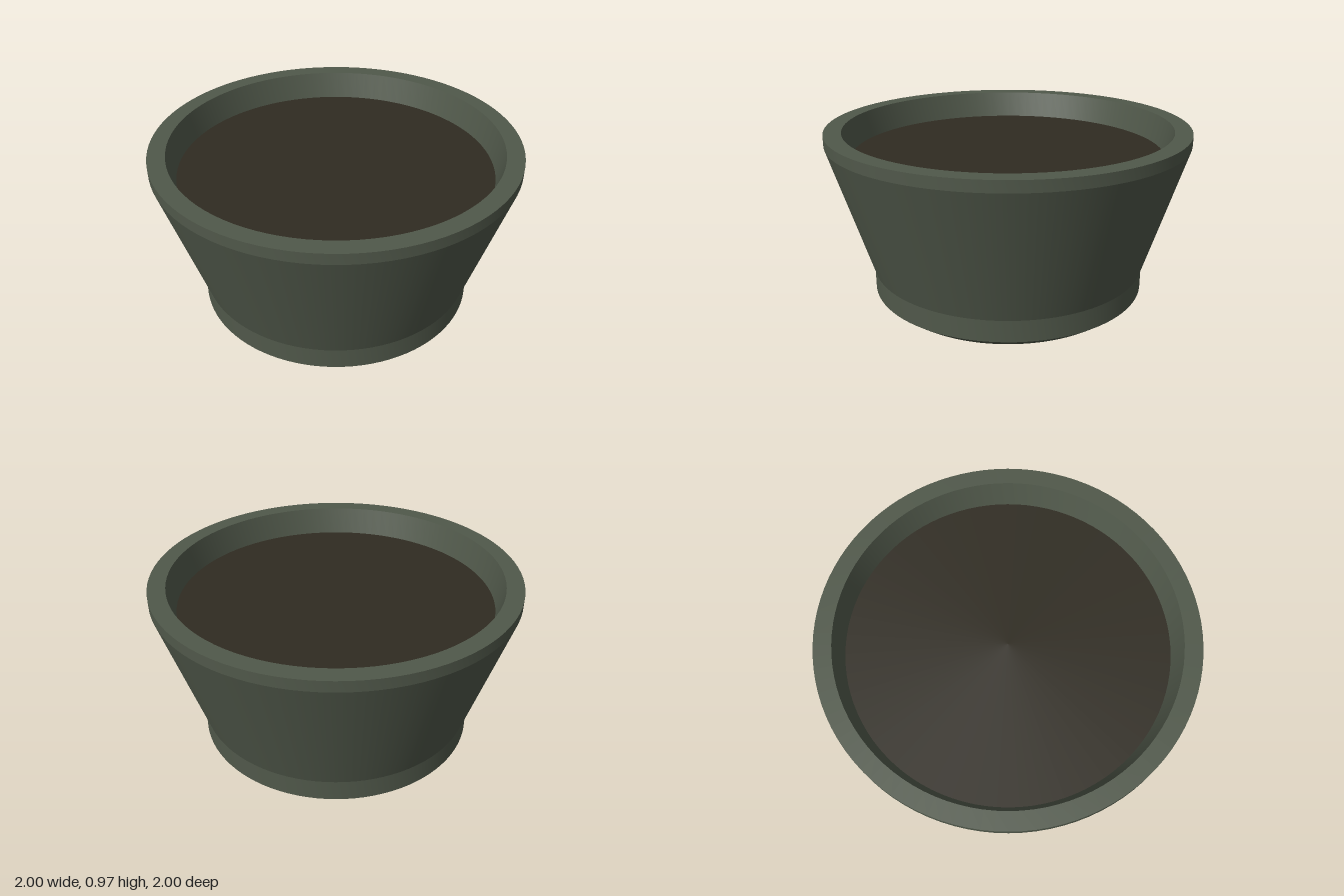
import * as THREE from 'three';
import { toCreasedNormals } from 'three/addons/utils/BufferGeometryUtils.js';

const SEGMENTS = 96;

export function createModel() {
  const model = new THREE.Group();
  model.name = 'plantPot';

  const clay = new THREE.MeshStandardMaterial({ color: 0x50584a });
  clay.name = 'greyGreenPot';
  const earth = new THREE.MeshStandardMaterial({ color: 0x2f2b21 });
  earth.name = 'darkSoil';

  const add = (name, geometry, material) => {
    const mesh = new THREE.Mesh(geometry, material);
    mesh.name = name;
    model.add(mesh);
    return mesh;
  };

  // Pot wall: chamfered foot, flared side, flat rim, tapered inside
  const profile = [
    [0.71, 0], [0.775, 0.05], [0.775, 0.17], [1, 0.91],
    [1, 0.97], [0.905, 0.97], [0.86, 0.8],
  ].map(([r, y]) => new THREE.Vector2(r, y));
  add('potWall', toCreasedNormals(new THREE.LatheGeometry(profile, SEGMENTS), 0.2), clay);

  // Flat underside
  const underside = add('potBase', new THREE.CircleGeometry(0.71, SEGMENTS), clay);
  underside.rotation.x = Math.PI / 2;

  // Soil surface a little below the rim
  const soil = add('soil', new THREE.CircleGeometry(0.866, SEGMENTS), earth);
  soil.rotation.x = -Math.PI / 2;
  soil.position.y = 0.82;

  return model;
}
